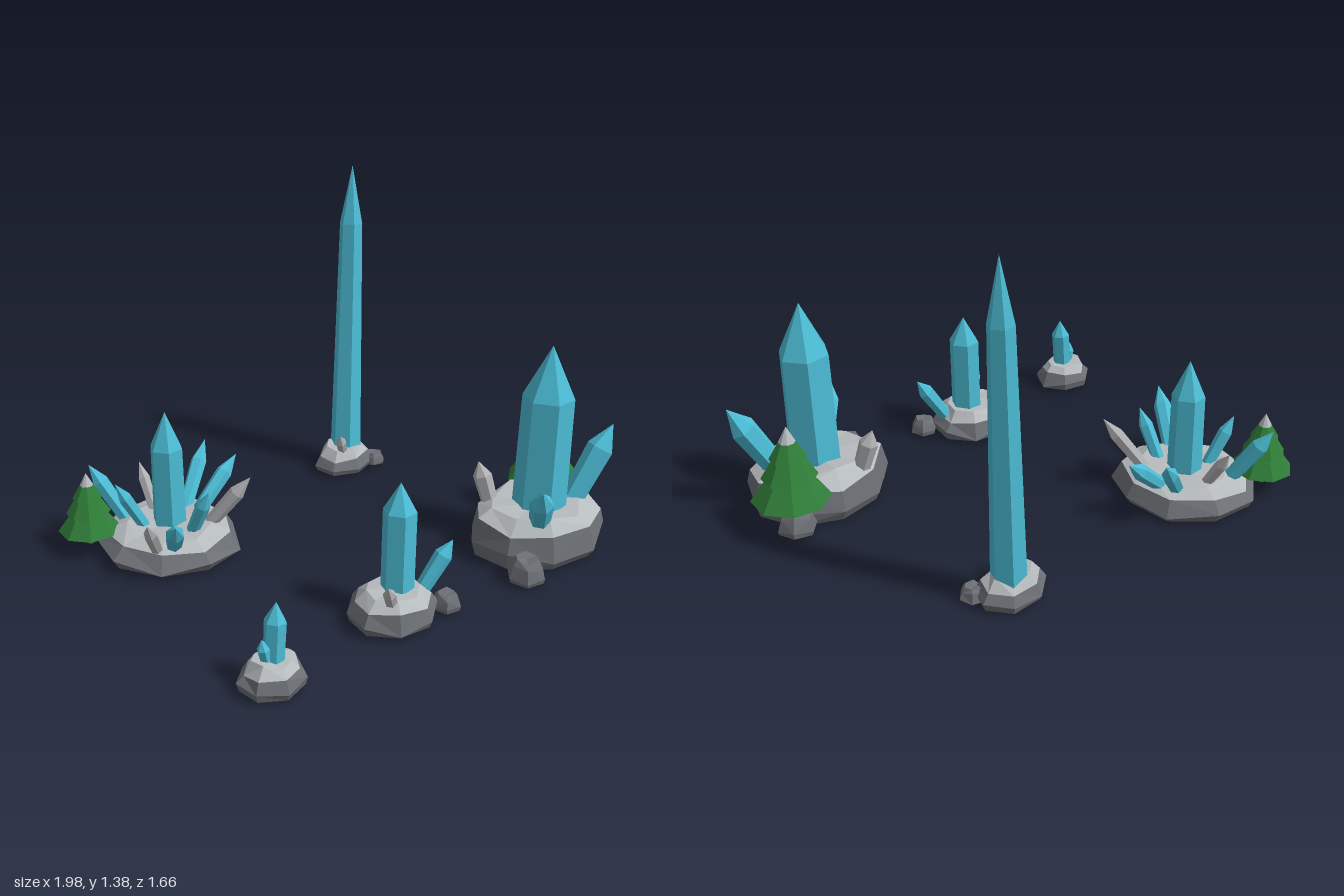
import * as THREE from 'three';

const material = (name, color) => {
  const m = new THREE.MeshStandardMaterial({ color, flatShading: true });
  m.name = name;
  return m;
};

export function createModel() {
  const stone = material('dark stone', 0x6c6f74);
  const pale = material('pale stone', 0xb6bbbe);
  const blue = material('blue crystal', 0x4cbdd6);
  const grey = material('grey crystal', 0xb0b1b3);
  const green = material('pine green', 0x2f7d38);
  const bark = material('bark brown', 0x84522a);

  let seed = 11;
  const rand = () => (seed = (seed * 16807) % 2147483647) / 2147483647;
  const jitter = (a) => (rand() - 0.5) * 2 * a;

  const add = (parent, name, geometry, mat) => {
    const mesh = new THREE.Mesh(geometry, mat);
    mesh.name = name;
    parent.add(mesh);
    return mesh;
  };

  // Skin over rings of points, closed by an optional bottom or top centre point
  const skin = (rings, bottom, top) => {
    const pos = [];
    const tri = (...pts) => pts.forEach((p) => pos.push(...p));
    const n = rings[0].length;
    for (let i = 0; i < n; i++) {
      const j = (i + 1) % n;
      for (let k = 0; k + 1 < rings.length; k++) {
        const a = rings[k], b = rings[k + 1];
        if ((i + k) % 2) {
          tri(a[i], b[i], a[j]);
          tri(a[j], b[i], b[j]);
        } else {
          tri(a[i], b[i], b[j]);
          tri(a[i], b[j], a[j]);
        }
      }
      if (bottom) tri(bottom, rings[0][i], rings[0][j]);
      if (top) tri(top, rings.at(-1)[j], rings.at(-1)[i]);
    }
    const g = new THREE.BufferGeometry();
    g.setAttribute('position', new THREE.Float32BufferAttribute(pos, 3));
    g.computeVertexNormals();
    return g;
  };

  // Boulder: dark flanks around an uneven oval, pale crown on top
  const boulder = (parent, { x, z, rx, rz, sides, turn, edge, height, taper, crown }) => {
    const outline = Array.from({ length: sides }, (_, i) => {
      const a = turn + i * 2 * Math.PI / sides, s = 1.02 + jitter(0.03);
      return [Math.cos(a) * rx * s, Math.sin(a) * rz * s];
    });
    const ring = (scale, y, dy, ds) => outline.map(([ox, oz]) => {
      const s = scale + jitter(ds);
      return [x + ox * s, y + jitter(dy), z + oz * s];
    });
    const foot = ring(0.93, 0.01, 0.004, 0.02);
    const belly = ring(1, edge * 0.4, edge * 0.2, 0.01);
    const rim = ring(taper, edge, edge * 0.13, 0.04);
    const shelf = ring(taper * 0.72, height, height * 0.1, 0.06);
    add(parent, 'rockFlanks', skin([foot, belly, rim], [x, 0, z]), stone);
    add(parent, 'rockCrown', skin([rim, shelf], null, [x, height * 0.97, z]), crown);
  };

  // Small stone beside a boulder
  const pebble = (parent, x, z, r, height) => boulder(parent, {
    x, z, rx: r, rz: r, sides: 6, turn: 0.3, edge: height * 0.75, height, taper: 0.82, crown: stone });

  // Six-sided crystal from its foot to its tip; flare widens or narrows the foot
  const crystal = (parent, name, mat, foot, tip, r, shoulder, flare) => {
    const axis = tip.clone().sub(foot);
    const len = axis.length();
    const points = [[0, 0], [r * flare, 0], [r, len * shoulder], [0, len]];
    const profile = points.map((p) => new THREE.Vector2(...p));
    const mesh = add(parent, name, new THREE.LatheGeometry(profile, 6, Math.PI / 6), mat);
    mesh.position.copy(foot);
    mesh.quaternion.setFromUnitVectors(new THREE.Vector3(0, 1, 0), axis.normalize());
  };

  // Eight-sided pine with three tiers and a frosted tip
  const pine = (parent, x, y, z, scale) => {
    const tree = new THREE.Group();
    tree.name = 'pineTree';
    const lathe = (pts) => new THREE.LatheGeometry(pts.map((p) => new THREE.Vector2(...p)), 8, 0.2);
    add(tree, 'needles', lathe([[0, 0.085], [0.158, 0.062], [0.075, 0.175], [0.112, 0.158],
      [0.052, 0.255], [0.075, 0.24], [0.034, 0.31]]), green);
    add(tree, 'frostedTip', lathe([[0.034, 0.31], [0, 0.375]]), pale);
    const trunk = add(tree, 'trunk', new THREE.CylinderGeometry(0.016, 0.018, 0.12, 6), bark);
    trunk.position.y = 0.04;
    tree.position.set(x, y, z);
    tree.scale.setScalar(scale);
    parent.add(tree);
  };

  const model = new THREE.Group();
  model.name = 'crystalOutcrops';

  // Boulder with its main crystal; returns a helper that fans side crystals out around it
  const cluster = (name, rock, foot, tip, r, shoulder, flare) => {
    const group = new THREE.Group();
    group.name = name;
    model.add(group);
    boulder(group, { ...rock, crown: pale });
    const root = new THREE.Vector3(...foot);
    crystal(group, 'mainCrystal', blue, root, new THREE.Vector3(...tip), r, shoulder, flare);
    const side = (mat, x, y, z, radius, spread = 0.4) => {
      const end = new THREE.Vector3(x, y, z);
      const start = root.clone().lerp(end, spread).setY(rock.edge * 0.8);
      crystal(group, mat === blue ? 'sideCrystal' : 'greyCrystal', mat, start, end, radius, 0.72, 0.85);
    };
    return { group, side };
  };

  // Wide outcrop with a ring of crystals and a small pine
  const wide = cluster('wideCluster',
    { x: -0.487, z: -0.486, rx: 0.285, rz: 0.305, sides: 9, turn: 0.3, edge: 0.085, height: 0.115, taper: 0.85 },
    [-0.476, 0.08, -0.49], [-0.476, 0.595, -0.49], 0.068, 0.7, 1.05);
  wide.side(blue, -0.14, 0.31, -0.655, 0.034, 0.33);
  wide.side(blue, -0.1, 0.28, -0.5, 0.034, 0.33);
  wide.side(blue, -0.705, 0.285, -0.16, 0.037);
  wide.side(blue, -0.65, 0.32, -0.79, 0.036, 0.5);
  wide.side(blue, -0.67, 0.31, -0.585, 0.028);
  wide.side(blue, -0.455, 0.31, -0.26, 0.03, 0.48);
  wide.side(grey, -0.75, 0.265, -0.28, 0.028, 0.58);
  wide.side(grey, -0.26, 0.32, -0.23, 0.032);
  wide.side(grey, -0.435, 0.28, -0.735, 0.026, 0.45);
  pine(wide.group, -0.727, 0.04, -0.7, 0.8);

  // Middle outcrop
  const middle = cluster('middleCluster',
    { x: -0.25, z: 0.54, rx: 0.185, rz: 0.165, sides: 8, turn: -0.2, edge: 0.09, height: 0.13, taper: 0.85 },
    [-0.225, 0.08, 0.54], [-0.208, 0.55, 0.535], 0.065, 0.76, 1);
  middle.side(blue, -0.015, 0.275, 0.63, 0.035);
  middle.side(grey, -0.385, 0.225, 0.64, 0.025, 0.47);
  pebble(middle.group, -0.06, 0.645, 0.06, 0.07);

  // Smallest outcrop
  const small = cluster('smallCluster',
    { x: -0.863, z: 0.54, rx: 0.133, rz: 0.117, sides: 7, turn: 0, edge: 0.08, height: 0.115, taper: 0.82 },
    [-0.858, 0.07, 0.54], [-0.838, 0.328, 0.54], 0.041, 0.72, 0.95);
  small.side(blue, -0.9, 0.2, 0.53, 0.025);

  // Tall leaning spire
  const spire = cluster('spireCluster',
    { x: 0.547, z: -0.492, rx: 0.15, rz: 0.118, sides: 7, turn: -0.1, edge: 0.075, height: 0.115, taper: 0.82 },
    [0.565, 0.06, -0.5], [0.652, 1.385, -0.545], 0.05, 0.81, 1.42);
  spire.side(grey, 0.455, 0.2, -0.425, 0.024);
  pebble(spire.group, 0.66, -0.41, 0.052, 0.06);

  // Largest outcrop, with the bigger pine on its own stone
  const grand = cluster('grandCluster',
    { x: 0.592, z: 0.567, rx: 0.295, rz: 0.255, sides: 9, turn: 0.05, edge: 0.155, height: 0.19, taper: 0.92 },
    [0.595, 0.12, 0.575], [0.622, 0.865, 0.58], 0.105, 0.71, 1.06);
  grand.side(blue, 0.355, 0.378, 0.765, 0.048);
  grand.side(blue, 0.918, 0.47, 0.695, 0.055);
  grand.side(grey, 0.475, 0.335, 0.35, 0.04, 0.75);
  pebble(grand.group, 0.315, 0.735, 0.08, 0.1);
  pebble(grand.group, 0.83, 0.405, 0.08, 0.1);
  pine(grand.group, 0.84, 0.095, 0.418, 1);

  return model;
}
